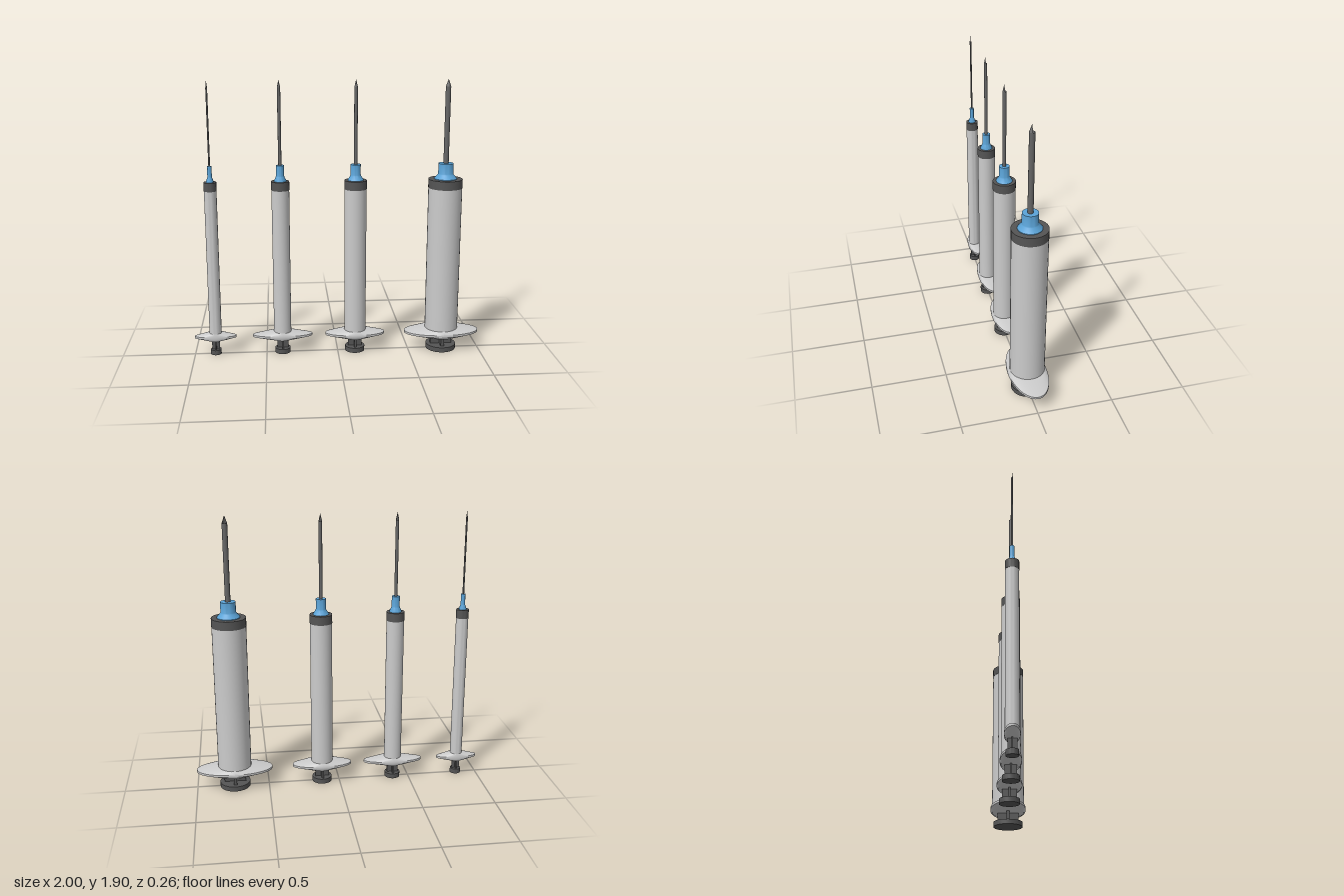
import * as THREE from 'three';
import { toCreasedNormals } from 'three/addons/utils/BufferGeometryUtils.js';

const grey = new THREE.MeshStandardMaterial({ color: 0xcccccc });
const dark = new THREE.MeshStandardMaterial({ color: 0x555555 });
const blue = new THREE.MeshStandardMaterial({ color: 0x5ba4d8 });
const steel = new THREE.MeshStandardMaterial({ color: 0x666666, side: THREE.DoubleSide });

// One entry per syringe: position, barrel radius, flange half-axes, plunger, hub and needle radii
const sizes = [
  { x: -0.855, r: 0.042, a: 0.145, b: 0.046, thumb: 0.037, rib: 0.027, hubBase: 0.026, hub: 0.015, needle: 0.006 },
  { x: -0.387, r: 0.06, a: 0.208, b: 0.067, thumb: 0.053, rib: 0.038, hubBase: 0.042, hub: 0.027, needle: 0.011 },
  { x: 0.122, r: 0.075, a: 0.208, b: 0.084, thumb: 0.068, rib: 0.048, hubBase: 0.053, hub: 0.034, needle: 0.012 },
  { x: 0.737, r: 0.115, a: 0.263, b: 0.128, thumb: 0.105, rib: 0.075, hubBase: 0.077, hub: 0.051, needle: 0.018 },
];

function add(group, name, geometry, material) {
  const mesh = new THREE.Mesh(geometry, material);
  mesh.name = name;
  group.add(mesh);
  return mesh;
}

// Revolved part with crisp rims; the profile runs from bottom to top
function lathe(profile, segments = 32) {
  const points = profile.map(([x, y]) => new THREE.Vector2(x, y));
  return new THREE.LatheGeometry(points, segments);
}
const crisp = (geometry) => toCreasedNormals(geometry, 0.5);

// Finger flange: round at the barrel (radius 1), blending to an ellipse at the edge (radius 2)
function flangeGeometry({ r, a, b }) {
  const geometry = lathe([[0, 0.1], [1, 0.1], [1.5, 0.109], [2, 0.12],
    [2, 0.135], [1.5, 0.147], [1, 0.157]], 48);
  const pos = geometry.attributes.position;
  for (let i = 0; i < pos.count; i++) {
    const x = pos.getX(i), z = pos.getZ(i);
    const d = Math.hypot(x, z);
    if (d < 1e-6) continue;
    const t = Math.max(0, d - 1);
    pos.setX(i, (x / d) * (r + (a - r) * t));
    pos.setZ(i, (z / d) * (r + (b - r) * t));
  }
  return crisp(geometry);
}

function createSyringe(s) {
  const g = new THREE.Group();
  g.name = 'syringe';

  // Barrel, flange and end collar
  add(g, 'barrel', crisp(lathe([[s.r, 0.13], [s.r, 1.167]])), grey);
  add(g, 'fingerFlange', flangeGeometry(s), grey);
  add(g, 'collar', crisp(lathe([[s.r, 1.167], [s.r + 0.001, 1.167],
    [s.r + 0.001, 1.227], [0, 1.227]])), dark);

  // Plunger: thumb disc and cross-shaped rod
  add(g, 'thumbRest', crisp(lathe([[0, 0], [s.thumb, 0], [s.thumb, 0.034], [0, 0.034]])), dark);
  for (const turn of [0, Math.PI / 2]) {
    const rib = add(g, 'plungerRib', new THREE.BoxGeometry(s.rib * 2, 0.09, s.rib * 0.3), dark);
    rib.position.y = 0.075;
    rib.rotation.y = turn;
  }

  // Needle hub with flared foot
  add(g, 'needleHub', crisp(lathe([[s.hubBase, 1.226], [s.hubBase, 1.231],
    [s.hub * 1.06, 1.258], [s.hub, 1.265], [s.hub, 1.335], [0, 1.335]])), blue);

  // Hollow needle whose front half runs up to a point
  const tube = new THREE.CylinderGeometry(s.needle, s.needle, 0.517, 16, 1, true);
  add(g, 'needle', tube, steel).position.y = 1.5915;
  const tip = new THREE.CylinderGeometry(0, s.needle, 0.05, 8, 1, true, -Math.PI / 2, Math.PI);
  add(g, 'needleTip', tip, steel).position.y = 1.875;

  g.position.x = s.x;
  return g;
}

export function createModel() {
  const model = new THREE.Group();
  model.name = 'syringeSet';
  for (const s of sizes) model.add(createSyringe(s));
  return model;
}
